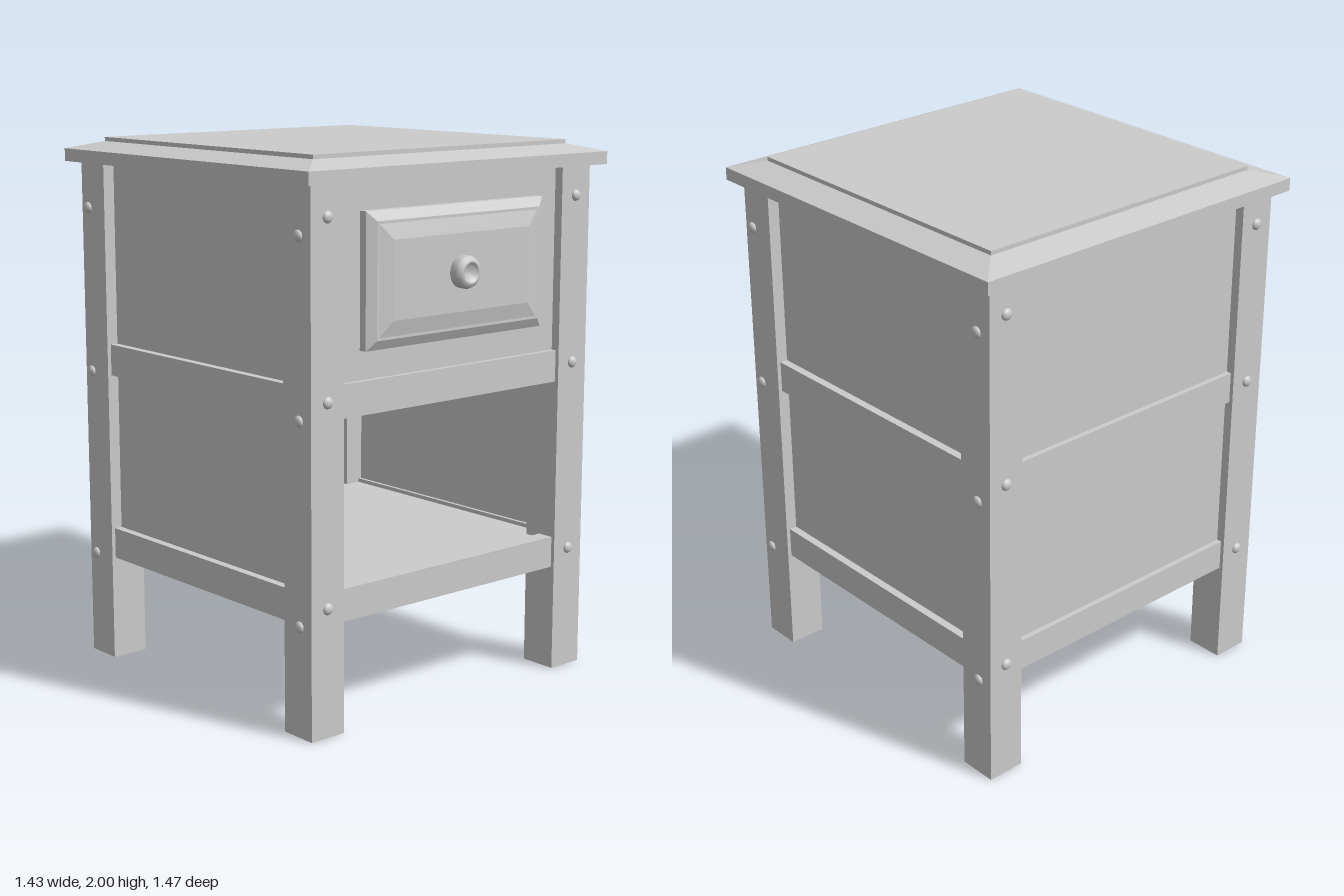
import * as THREE from 'three';

const material = new THREE.MeshStandardMaterial({ color: 0xcccccc });

function add(parent, name, geometry, x = 0, y = 0, z = 0) {
  const mesh = new THREE.Mesh(geometry, material);
  mesh.name = name;
  mesh.position.set(x, y, z);
  parent.add(mesh);
  return mesh;
}

// Box given by its limits on each axis
function slab(parent, name, [x0, x1], [y0, y1], [z0, z1]) {
  return add(parent, name, new THREE.BoxGeometry(x1 - x0, y1 - y0, z1 - z0),
    (x0 + x1) / 2, (y0 + y1) / 2, (z0 + z1) / 2);
}

// Box whose +z face is shrunk to w2 x h2; spans z0 to z1
function bevelled(w, h, w2, h2, z0, z1) {
  const geometry = new THREE.BoxGeometry(w, h, z1 - z0);
  const p = geometry.attributes.position;
  for (let i = 0; i < p.count; i++) {
    if (p.getZ(i) > 0) p.setXY(i, p.getX(i) * w2 / w, p.getY(i) * h2 / h);
  }
  geometry.translate(0, 0, (z0 + z1) / 2);
  const flat = geometry.toNonIndexed();
  flat.computeVertexNormals();
  return flat;
}

export function createModel() {
  const model = new THREE.Group();
  model.name = 'nightstand';
  const body = new THREE.Group();
  body.name = 'body';
  body.position.z = -0.021;
  model.add(body);

  const IN = 0.524, OUT = 0.669, TOP = 1.91;
  const legMid = (IN + OUT) / 2;
  const railHeights = [[0.398, 0.515], [1.112, 1.23]];

  // Legs
  for (const sx of [-1, 1]) for (const sz of [-1, 1]) {
    add(body, 'leg', new THREE.BoxGeometry(OUT - IN, TOP, OUT - IN), sx * legMid, TOP / 2, sz * legMid);
  }

  // Each side is made facing +z and then turned into place
  ['front', 'right', 'back', 'left'].forEach((name, i) => {
    const side = new THREE.Group();
    side.name = name + 'Side';
    side.rotation.y = i * Math.PI / 2;
    body.add(side);
    for (const ys of railHeights) slab(side, 'rail', [-IN, IN], ys, [0.59, OUT - 0.015]);
    const face = i % 2 ? OUT - 0.045 : OUT - 0.035;
    // The front is open between the two rails
    slab(side, 'panel', [-IN, IN], [i === 0 ? 1.15 : 0.45, TOP], [face - 0.02, face]);

    // Bolt heads: centred and higher on front and back, lower on the sides
    const xs = i % 2 ? [-0.63, 0.606] : [-legMid, legMid];
    const ys = i % 2 ? [0.399, 1.116, 1.738] : [0.464, 1.18, 1.8];
    for (const x of xs) for (const y of ys) {
      const bolt = add(side, 'bolt', new THREE.SphereGeometry(0.021, 16, 12), x, y, OUT);
      bolt.scale.z = 0.65;
    }
  });

  // Lower shelf and the floor of the drawer space
  slab(body, 'shelf', [-0.6, 0.6], [0.43, 0.5], [-0.6, 0.6]);
  slab(body, 'drawerFloor', [-0.6, 0.6], [1.15, 1.2], [-0.6, 0.6]);

  // Top board, sloping border and raised centre
  const top = new THREE.Group();
  top.name = 'top';
  top.rotation.x = -Math.PI / 2;
  body.add(top);
  add(top, 'topBoard', bevelled(1.426, 1.426, 1.426, 1.426, TOP, 1.957));
  add(top, 'topBevel', bevelled(1.426, 1.426, 1.21, 1.21, 1.957, 1.985));
  add(top, 'topCentre', bevelled(1.21, 1.21, 1.21, 1.21, 1.98, 2.0));

  // Drawer front with a stepped bevel
  const drawer = new THREE.Group();
  drawer.name = 'drawer';
  drawer.position.y = 1.57;
  body.add(drawer);
  add(drawer, 'drawerBoard', bevelled(0.848, 0.474, 0.848, 0.474, 0.62, 0.664));
  add(drawer, 'drawerBevel', bevelled(0.848, 0.474, 0.78, 0.406, 0.664, 0.683));
  add(drawer, 'drawerPanel', bevelled(0.76, 0.386, 0.65, 0.276, 0.683, 0.696));

  // Round knob with a dished face
  const profile = [[0.034, 0.69], [0.034, 0.698], [0.05, 0.698], [0.058, 0.706], [0.058, 0.733],
    [0.053, 0.744], [0.042, 0.753], [0.032, 0.753], [0.027, 0.741], [0, 0.737]];
  const knob = new THREE.LatheGeometry(profile.map(([r, h]) => new THREE.Vector2(r, h)), 32);
  knob.rotateX(Math.PI / 2);
  add(drawer, 'knob', knob, -0.015, 0.005, 0);

  return model;
}
